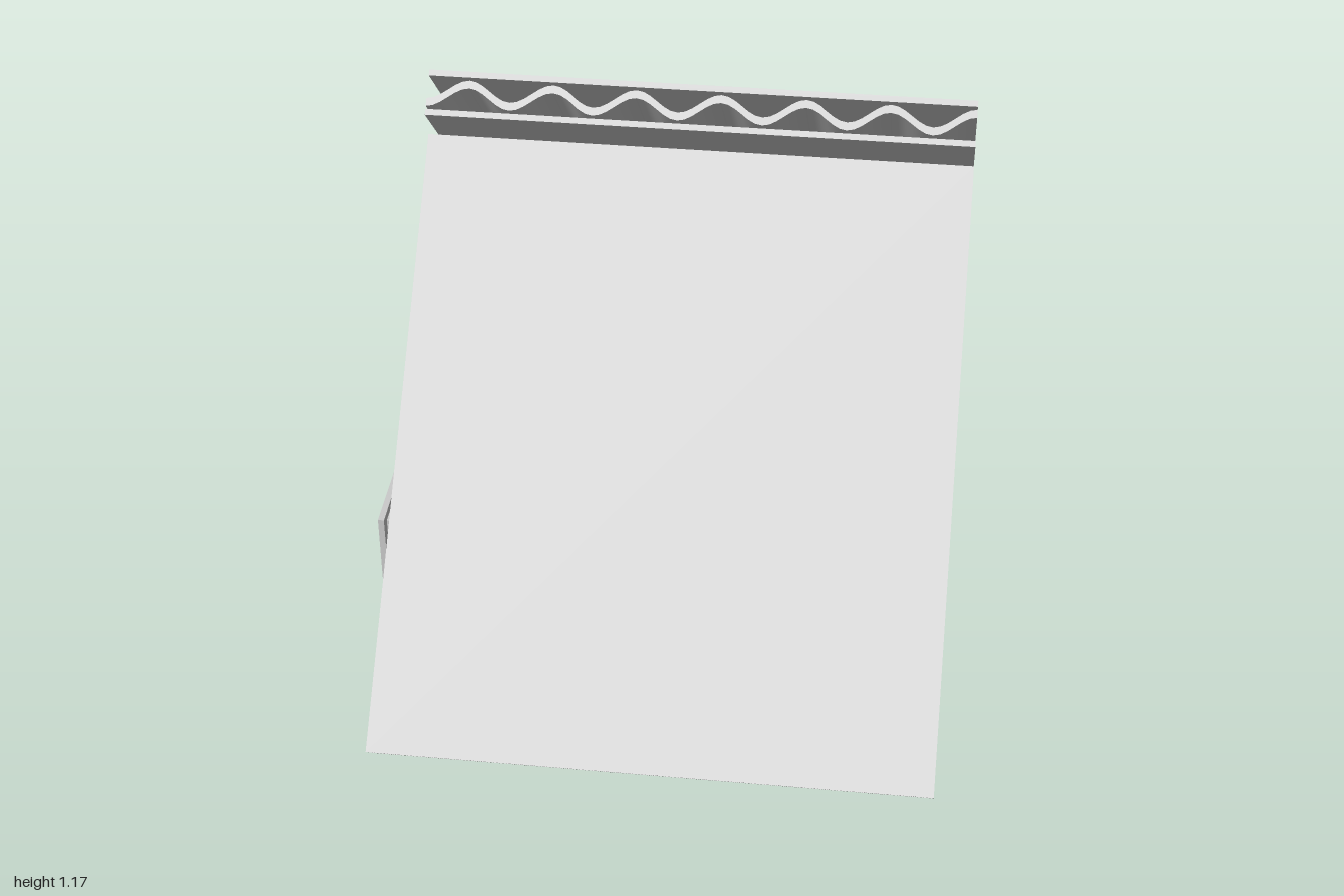
import * as THREE from 'three';
import { toCreasedNormals } from 'three/addons/utils/BufferGeometryUtils.js';

const LEN = 1.076;      // board width, across the flutes
const THICK = 0.092;    // full board thickness
const LINER = 0.012;    // outer sheet thickness
const WAVE = 0.016;     // fluted sheet thickness
const AMP = 0.02;       // flute amplitude
const CYCLES = 6.5;
const STEPS = 78;

const material = new THREE.MeshStandardMaterial({ color: 0xcccccc });
const capMaterial = new THREE.MeshStandardMaterial({ color: 0xcccccc, side: THREE.DoubleSide });

// Closed outline of the fluted sheet: x across the board, y towards its inside
function waveOutline() {
  const outer = [], inner = [];
  for (let i = 0; i <= STEPS; i++) {
    const t = i / STEPS;
    const x = (t - 0.5) * LEN;
    const mid = AMP * Math.cos(t * CYCLES * Math.PI * 2);
    outer.push(new THREE.Vector2(x, mid - WAVE / 2));
    inner.push(new THREE.Vector2(x, mid + WAVE / 2));
  }
  return [...outer, ...inner.reverse()];
}

// Fan from the last outer crest, closing the flutes at one end
function fanCap(outline, height) {
  const positions = [];
  const hub = outline[STEPS];
  outline.forEach((a, i) => {
    const b = outline[(i + 1) % outline.length];
    if (a === hub || b === hub) return;
    for (const p of [hub, a, b]) positions.push(p.x, height + 0.0005, -p.y * -1);
  });
  const geometry = new THREE.BufferGeometry();
  geometry.setAttribute('position', new THREE.Float32BufferAttribute(positions, 3));
  geometry.computeVertexNormals();
  return geometry;
}

// Corrugated board: flutes run up local y, outer face towards local +z
function board(name, height) {
  const group = new THREE.Group();
  group.name = name;
  const add = (part, geometry, mat = material) => {
    const mesh = new THREE.Mesh(geometry, mat);
    mesh.name = part;
    group.add(mesh);
    return mesh;
  };

  // Flat liners on both faces
  for (const side of [1, -1]) {
    const liner = add(side > 0 ? 'outerLiner' : 'innerLiner', new THREE.BoxGeometry(LEN, height, LINER));
    liner.position.set(0, height / 2, side * (THICK - LINER) / 2);
  }

  // Fluted middle sheet
  const outline = waveOutline().map((p) => new THREE.Vector2(p.x, p.y));
  const flute = new THREE.ExtrudeGeometry(new THREE.Shape(outline), { depth: height, bevelEnabled: false });
  flute.rotateX(-Math.PI / 2);
  add('flutedSheet', toCreasedNormals(flute, 0.7));

  // Closed flute end
  const cap = fanCap(outline.map((p) => new THREE.Vector2(p.x, -p.y)), height);
  add('fluteEndCap', cap, capMaterial);
  return group;
}

export function createModel() {
  const model = new THREE.Group();
  model.name = 'cardboardShelter';
  const cx = 0.027;

  // name, height, base centre, rotation about x, rotation about y
  const boards = [
    ['frontRoofPanel', 1.21, [cx, 0.16, 0.967], -Math.PI / 4, 0],
    ['backRoofPanel', 1.556, [cx, 1.137, 0.1325], -Math.PI * 0.75, 0],
    ['frontWall', 0.37, [cx, 0.035, 0.59], 0, 0],
    ['backWall', 0.37, [cx, 0.035, -0.48], 0, Math.PI],
    ['endWall', 0.37, [-0.519, 0.035, 0.03], 0, -Math.PI / 2],
  ];
  for (const [name, height, position, rx, ry] of boards) {
    const panel = board(name, height);
    panel.position.set(...position);
    panel.rotation.set(rx, ry, 0);
    model.add(panel);
  }
  return model;
}
